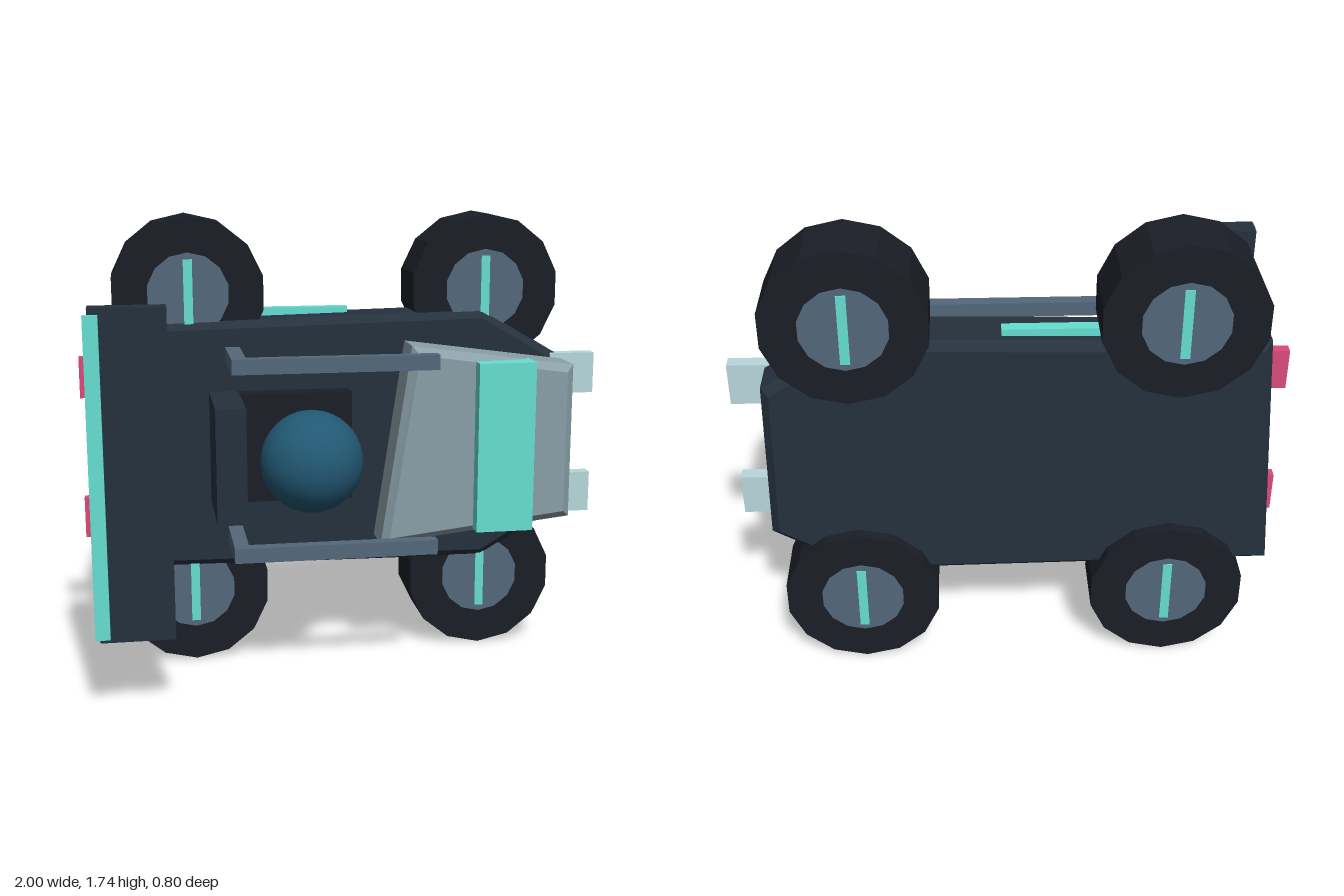
import * as THREE from 'three';

const C = {
  hull: 0x25313d, tyre: 0x1b1e27, metal: 0x53677a, glow: 0x66dfd2,
  cabin: 0x8a9fa8, lamp: 0xb8d8dc, tail: 0xdb4a78, dome: 0x225873,
};
const MID = 0.868; // centre line of the vehicle, which lies on its side

export function createModel() {
  const model = new THREE.Group();

  function add(name, geometry, color, flat = true) {
    const mesh = new THREE.Mesh(geometry, new THREE.MeshStandardMaterial({ color, flatShading: flat }));
    mesh.name = name;
    model.add(mesh);
    return mesh;
  }

  // Box given by its extents on each axis
  function box(name, color, [x0, x1], [y0, y1], [z0, z1]) {
    const mesh = add(name, new THREE.BoxGeometry(x1 - x0, y1 - y0, z1 - z0), color);
    mesh.position.set((x0 + x1) / 2, (y0 + y1) / 2, (z0 + z1) / 2);
    return mesh;
  }

  // Two boxes mirrored about the centre line
  function boxPair(name, color, xs, offset, width, zs) {
    for (const s of [-1, 1]) {
      const y = MID + s * offset;
      box(name, color, xs, [y - width / 2, y + width / 2], zs);
    }
  }

  // Outline extruded along z with chamfered rims
  function slab(name, color, points, z0, z1, bevel) {
    const shape = new THREE.Shape(points.map(([x, y]) => new THREE.Vector2(x, y)));
    const geometry = new THREE.ExtrudeGeometry(shape, {
      depth: z1 - z0 - 2 * bevel, bevelEnabled: true, bevelSegments: 1,
      bevelSize: bevel, bevelThickness: bevel, bevelOffset: -bevel,
    });
    geometry.translate(0, 0, z0 + bevel);
    return add(name, geometry, color);
  }

  // Hull and cabin
  slab('hull', C.hull, [
    [-0.97, 0.39], [0.56, 0.372], [0.88, 0.56], [0.865, 1.18], [0.55, 1.366], [-0.9, 1.335],
  ], -0.35, -0.125, 0.03);
  slab('cabin', C.cabin, [
    [0.118, 0.488], [0.866, 0.57], [0.866, 1.17], [0.235, 1.256],
  ], -0.18, 0.052, 0.03);
  box('windshield', C.glow, [0.475, 0.695], [0.543, 1.195], [0, 0.109]);

  // Wheels: tyre, hub and a glowing bar, visible from both faces
  for (const x of [-0.587, 0.557]) {
    for (const y of [0.29, 1.445]) {
      const parts = [['tyre', 0.29, 0.24, C.tyre], ['hub', 0.155, 0.246, C.metal]];
      for (const [name, radius, width, color] of parts) {
        const geometry = new THREE.CylinderGeometry(radius, radius, width, 14).rotateX(Math.PI / 2);
        add(name, geometry, color).position.set(x, y, -0.273);
      }
      box('hubBar', C.glow, [x - 0.017, x + 0.017], [y - 0.13, y + 0.13], [-0.4, -0.146]);
    }
  }

  // Side strips and lamps
  boxPair('sideStrip', C.glow, [-0.31, 0.03], 0.485, 0.05, [-0.29, -0.245]);
  boxPair('headlamp', C.lamp, [0.82, 1], 0.243, 0.16, [-0.183, -0.13]);
  boxPair('tailLamp', C.tail, [-1, -0.89], 0.271, 0.155, [-0.192, -0.152]);

  // Seat and dome
  box('seat', C.tyre, [-0.41, 0.017], [0.66, 1.077], [-0.14, -0.045]);
  box('seatBack', C.hull, [-0.52, -0.41], [0.657, 1.08], [-0.11, 0.253]);
  add('dome', new THREE.SphereGeometry(0.187, 32, 20), C.dome, false).position.set(-0.17, MID, 0.194);

  // Roll cage
  boxPair('cagePost', C.metal, [-0.455, -0.4], 0.35, 0.056, [-0.13, 0.142]);
  boxPair('cageRail', C.metal, [-0.455, 0.305], 0.35, 0.056, [0.142, 0.19]);

  // Rear wing
  boxPair('wingStrut', C.metal, [-0.82, -0.76], 0.31, 0.05, [-0.087, 0.29]);
  box('wing', C.hull, [-0.947, -0.682], [0.28, 1.459], [0.286, 0.371]);
  box('wingTrim', C.glow, [-0.962, -0.91], [0.3, 1.437], [0.371, 0.398]);

  return model;
}
